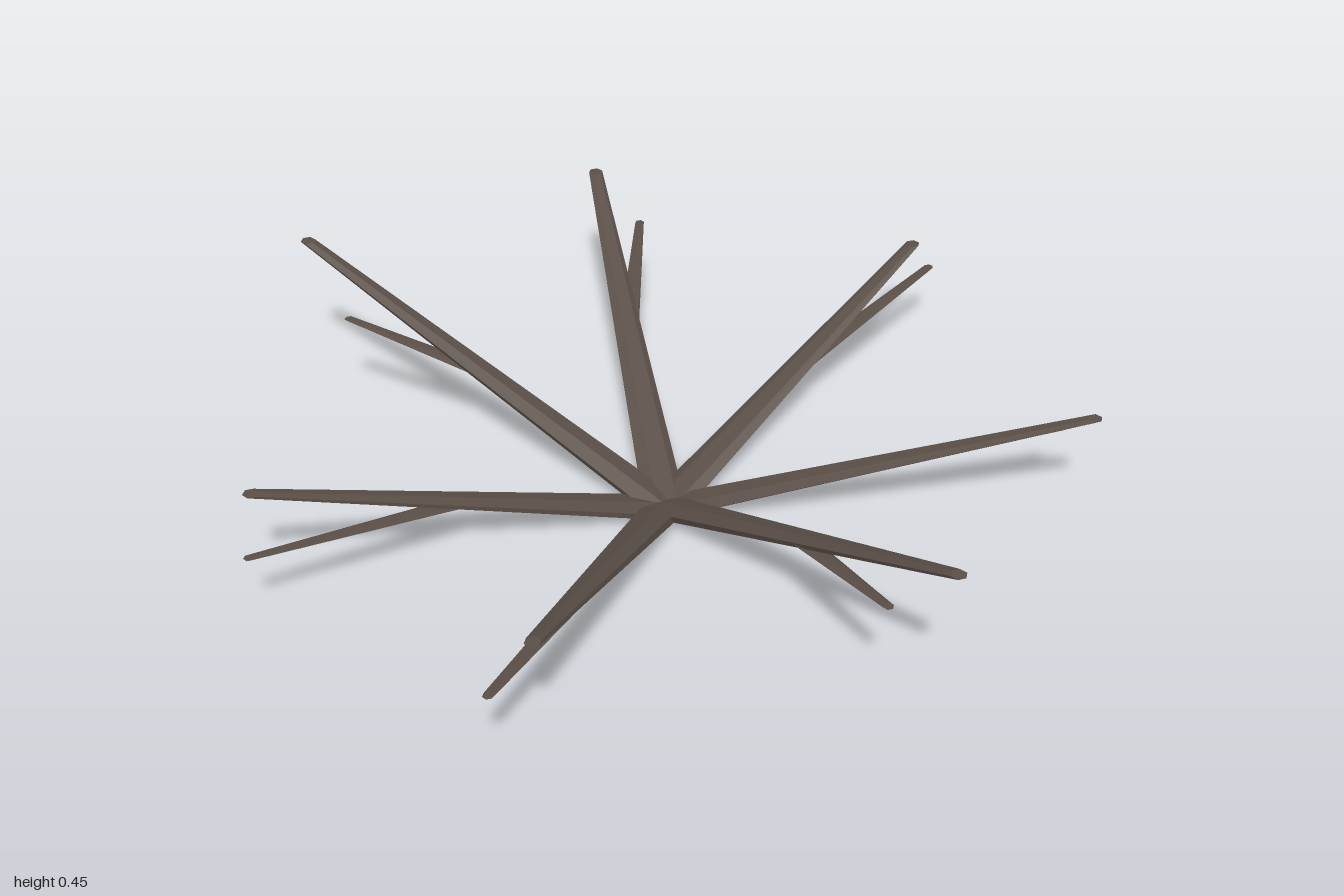
import * as THREE from 'three';

const SIDES = 6;
const bark = new THREE.MeshStandardMaterial({ color: 0x5a4f47, flatShading: true });

// Tapered stick whose end rings stay level, leaning from one point to another
function stick(name, from, to, r0, r1) {
  const geo = new THREE.CylinderGeometry(r1, r0, 1, SIDES, 1);
  geo.translate(0, 0.5, 0);
  const d = to.clone().sub(from);
  const lean = new THREE.Matrix4().set(
    1, d.x, 0, from.x,
    0, d.y, 0, from.y,
    0, d.z, 1, from.z,
    0, 0, 0, 1);
  geo.applyMatrix4(lean);
  geo.computeVertexNormals();
  const mesh = new THREE.Mesh(geo, bark);
  mesh.name = name;
  return mesh;
}

export function createModel() {
  const model = new THREE.Group();
  model.name = 'branchCluster';
  const root = new THREE.Vector3(-0.05, 0, 0);

  // Tip positions in plan [x, z]: branch, then its side twig
  const half = [
    [[0.905, 0], [0.985, 0]],
    [[0.55, -0.785], [0.595, -0.67]],
    [[-0.268, -0.982], [-0.285, -0.83]],
    [[-0.92, -0.435], [-0.99, -0.373]],
  ];

  for (let i = 0; i < 7; i++) {
    // Later branches mirror the earlier ones across z
    const mirrored = i > 3;
    const [b, t] = half[mirrored ? 7 - i : i];
    const s = mirrored ? -1 : 1;
    // Heights repeat in steps of three
    const branchTip = new THREE.Vector3(b[0], 0.31 + 0.07 * (i % 3), s * b[1]);
    const twigTip = new THREE.Vector3(t[0], 0.205 + 0.045 * (i % 3), s * t[1]);
    const fork = root.clone().lerp(branchTip, 0.5);

    const limb = new THREE.Group();
    limb.name = 'limb' + (i + 1);
    limb.add(stick('branch', root, branchTip, 0.052, 0.018));
    limb.add(stick('twig', fork, twigTip, 0.027, 0.012));
    model.add(limb);
  }
  return model;
}
